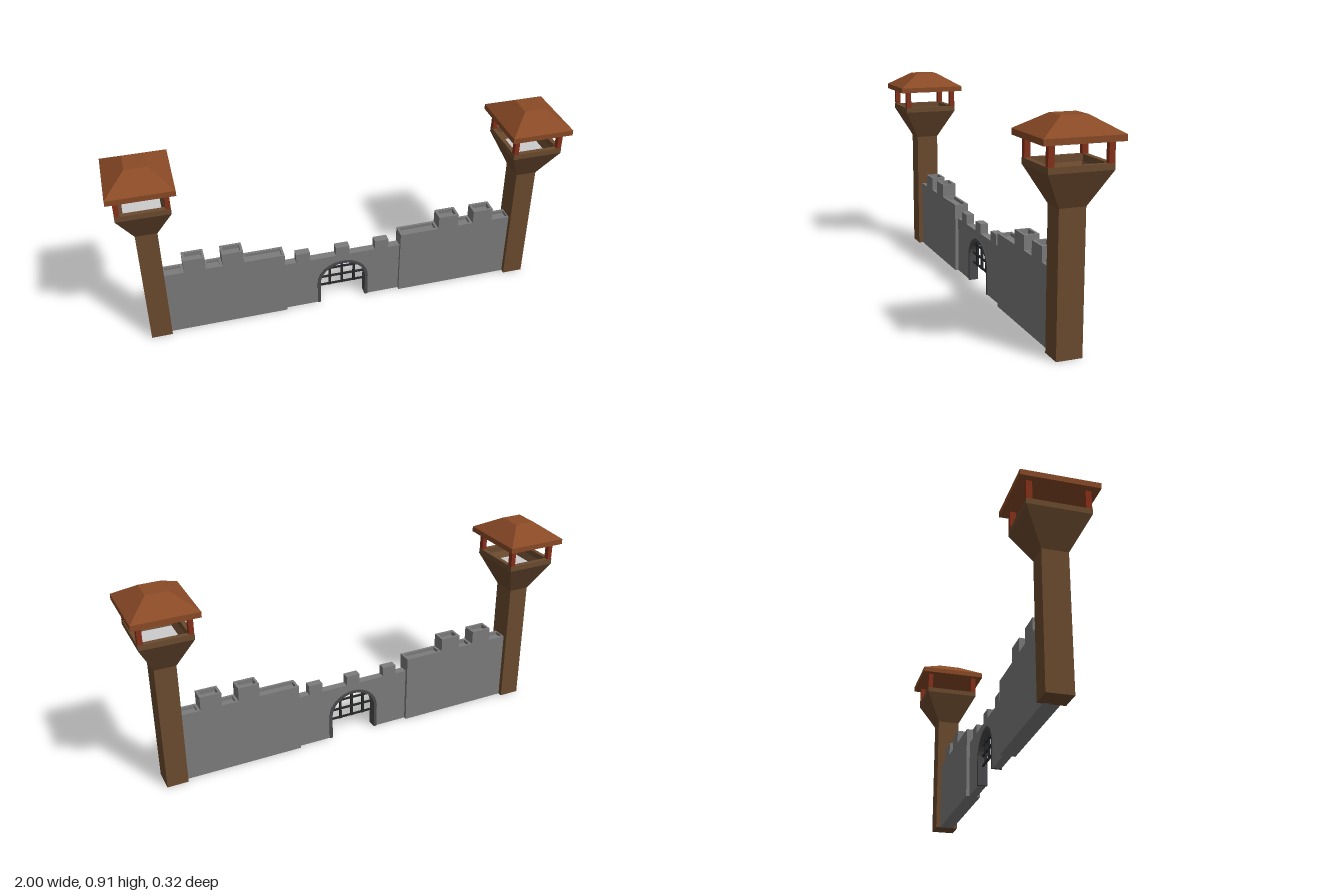
import * as THREE from 'three';

const mat = (color) => new THREE.MeshStandardMaterial({ color, flatShading: true });
const STONE = mat(0x7c7c7c), TRIM = mat(0x4a4a4c), IRON = mat(0x26282a);
const WOOD = mat(0x6b4a2f), ROOF = mat(0x8a4a26), POST = mat(0x86301a), FLOOR = mat(0xcccccc);

function add(parent, name, geometry, material) {
  const mesh = new THREE.Mesh(geometry, material);
  mesh.name = name;
  parent.add(mesh);
  return mesh;
}

// Box given by its limits
function block(parent, name, material, x0, x1, y0, y1, z0, z1) {
  const mesh = add(parent, name, new THREE.BoxGeometry(x1 - x0, y1 - y0, z1 - z0), material);
  mesh.position.set((x0 + x1) / 2, (y0 + y1) / 2, (z0 + z1) / 2);
  return mesh;
}

// Square turned solid: profile of [half width, height]
function square(profile) {
  const pts = profile.map(([w, y]) => new THREE.Vector2(w * Math.SQRT2, y));
  return new THREE.LatheGeometry(pts, 4, Math.PI / 4);
}

function extrude(shape, depth) {
  const g = new THREE.ExtrudeGeometry(shape, { depth, bevelEnabled: false, curveSegments: 16 });
  return g.translate(0, 0, -depth / 2);
}

function tower(side) {
  const g = new THREE.Group();
  g.name = side > 0 ? 'leftTower' : 'rightTower';
  // Shaft, flared lookout and its hollow inside
  add(g, 'towerBody', square([
    [0, 0], [0.054, 0], [0.054, 0.578], [0.13, 0.718], [0.13, 0.742],
    [0.108, 0.742], [0.108, 0.715], [0.09, 0.685],
  ]), WOOD);
  const floor = add(g, 'lookoutFloor', new THREE.BoxGeometry(0.182, 0.006, 0.182), FLOOR);
  floor.position.y = 0.684;
  for (const sx of [-1, 1]) for (const sz of [-1, 1]) {
    const post = add(g, 'roofPost', new THREE.BoxGeometry(0.024, 0.084, 0.024), POST);
    post.position.set(sx * 0.117, 0.782, sz * 0.117);
  }
  add(g, 'roof', square([[0, 0.822], [0.16, 0.822], [0.16, 0.846], [0.054, 0.91], [0, 0.91]]), ROOF);
  g.scale.x = 0.87;
  g.position.x = side * 0.861;
  return g;
}

// Raised rim around a sunken top
function rim(parent, name, x0, x1, y0, y1, z, t) {
  block(parent, name, STONE, x0, x1, y0, y1, z - t, z);
  block(parent, name, STONE, x0, x1, y0, y1, -z, t - z);
  block(parent, name, STONE, x0, x0 + t, y0, y1, t - z, z - t);
  block(parent, name, STONE, x1 - t, x1, y0, y1, t - z, z - t);
}

function sideWall(side) {
  const g = new THREE.Group();
  g.name = side > 0 ? 'leftWall' : 'rightWall';
  const z = 0.033, top = 0.327, t = 0.011;
  block(g, 'wallBody', STONE, 0.275, 0.82, 0, top - 0.015, -z, z);
  for (const [a, b] of [[0.275, 0.46], [0.556, 0.631], [0.727, 0.82]])
    rim(g, 'walkwayRim', a, b, top - 0.015, top, z, t);
  for (const [a, b] of [[0.46, 0.556], [0.631, 0.727]]) {
    block(g, 'merlon', STONE, a, b, top - 0.015, 0.37, -z, z);
    rim(g, 'merlonRim', a, b, 0.37, 0.39, z, t);
  }
  // The wall is symmetric in z, so a half turn mirrors it
  if (side < 0) g.rotation.y = Math.PI;
  return g;
}

// Arch outline from the right foot over to the left foot
function archPoints(halfWidth, spring, top) {
  const pts = [[halfWidth, 0]];
  for (let i = 0; i <= 16; i++) {
    const a = Math.PI * i / 16;
    pts.push([halfWidth * Math.cos(a), spring + (top - spring) * Math.sin(a)]);
  }
  pts.push([-halfWidth, 0]);
  return pts.map(([x, y]) => new THREE.Vector2(x, y));
}

function gate() {
  const g = new THREE.Group();
  g.name = 'gate';
  // Crenellated wall with an arched doorway
  const outline = [new THREE.Vector2(-0.28, 0), new THREE.Vector2(-0.28, 0.26)];
  for (const [a, b] of [[-0.22, -0.155], [-0.032, 0.032], [0.155, 0.22]])
    for (const [x, y] of [[a, 0.26], [a, 0.305], [b, 0.305], [b, 0.26]])
      outline.push(new THREE.Vector2(x, y));
  outline.push(new THREE.Vector2(0.28, 0.26), new THREE.Vector2(0.28, 0));
  const outer = archPoints(0.122, 0.115, 0.226), inner = archPoints(0.108, 0.115, 0.213);
  add(g, 'gateWall', extrude(new THREE.Shape([...outline, ...outer]), 0.036), STONE);
  add(g, 'archTrim', extrude(new THREE.Shape([...outer, ...inner.reverse()]), 0.044), TRIM);

  // Raised iron grate, bars cut to the arch
  const r = 0.005;
  for (const x of [-0.058, 0, 0.058]) {
    const y = 0.115 + 0.098 * Math.sqrt(1 - (x / 0.108) ** 2);
    block(g, 'uprightBar', IRON, x - r, x + r, 0.083, y + 0.006, -r, r);
  }
  for (const y of [0.088, 0.134, 0.18]) {
    const k = Math.max(0, (y - 0.115) / 0.098);
    const x = 0.108 * Math.sqrt(1 - k * k) + 0.005;
    block(g, 'crossBar', IRON, -x, x, y - 0.004, y + 0.004, -0.004, 0.004);
  }
  return g;
}

export function createModel() {
  const model = new THREE.Group();
  model.name = 'castleGate';
  for (const side of [-1, 1]) model.add(tower(side), sideWall(side));
  model.add(gate());
  return model;
}
